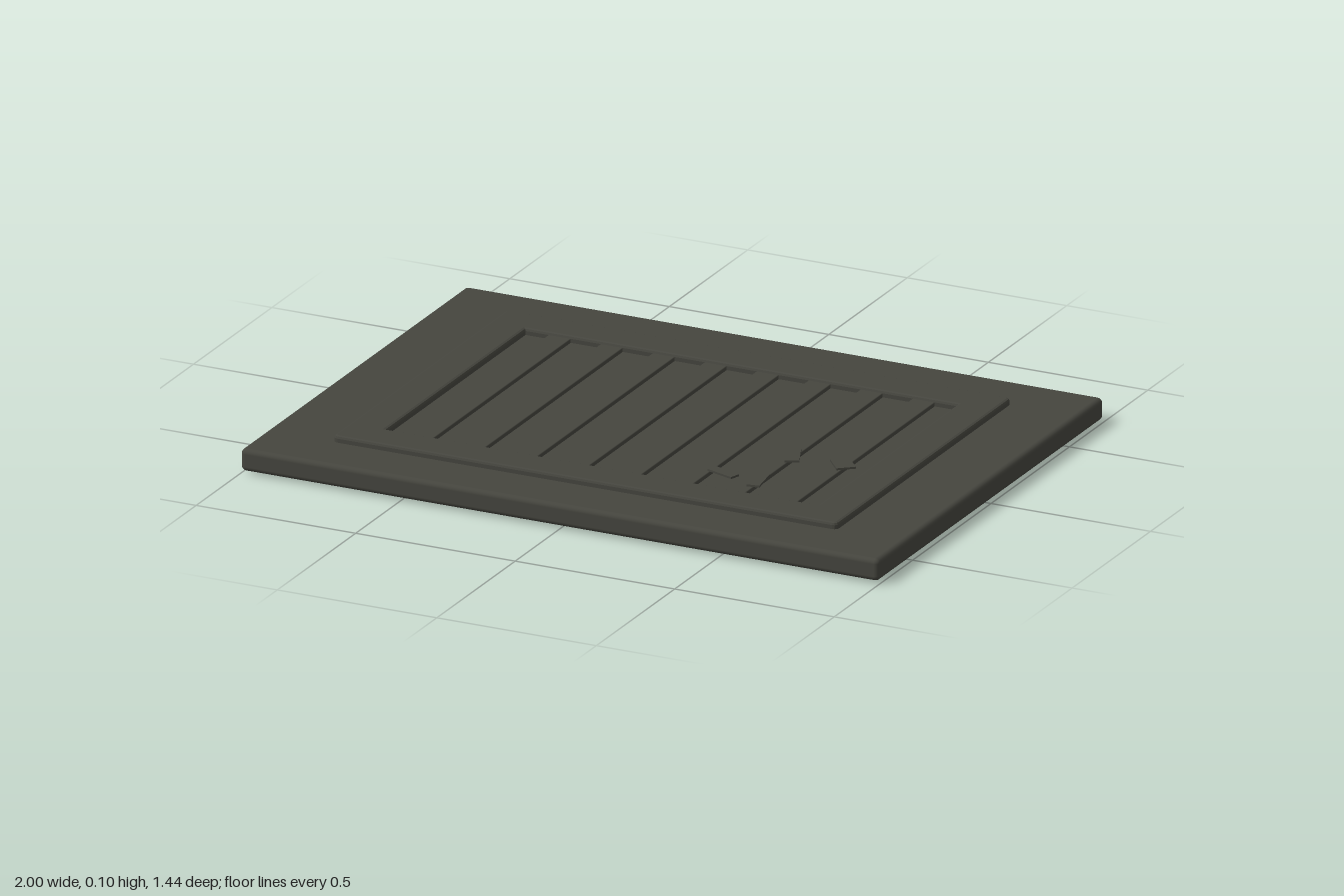
import * as THREE from 'three';
import { RoundedBoxGeometry } from 'three/addons/geometries/RoundedBoxGeometry.js';

const iron = new THREE.MeshStandardMaterial({ color: 0x45453e });
iron.name = 'dark iron';

function roundedRect(path, w, d, r) {
  const x = w / 2, y = d / 2;
  path.moveTo(-x + r, -y);
  path.lineTo(x - r, -y);
  path.quadraticCurveTo(x, -y, x, -y + r);
  path.lineTo(x, y - r);
  path.quadraticCurveTo(x, y, x - r, y);
  path.lineTo(-x + r, y);
  path.quadraticCurveTo(-x, y, -x, y - r);
  path.lineTo(-x, -y + r);
  path.quadraticCurveTo(-x, -y, -x + r, -y);
  return path;
}

export function createModel() {
  const group = new THREE.Group();
  group.name = 'floorGrate';
  const add = (name, geometry, x, y, z) => {
    const mesh = new THREE.Mesh(geometry, iron);
    mesh.name = name;
    mesh.position.set(x, y, z);
    group.add(mesh);
    return mesh;
  };

  // Wide base slab with softened edges
  add('baseSlab', new RoundedBoxGeometry(2, 0.067, 1.44, 3, 0.015), 0, 0.0415, 0);

  // Raised rim around the slats, proud of the slab above and below
  const bevel = 0.008;
  const rim = roundedRect(new THREE.Shape(), 1.58 - 2 * bevel, 1.112 - 2 * bevel, 0.008);
  rim.holes.push(roundedRect(new THREE.Path(), 1.354 + 2 * bevel, 0.886 + 2 * bevel, 0.004));
  const rimGeometry = new THREE.ExtrudeGeometry(rim, {
    depth: 0.095 - 2 * bevel, bevelEnabled: true, bevelSize: bevel,
    bevelThickness: bevel, bevelSegments: 2, curveSegments: 3,
  });
  rimGeometry.rotateX(-Math.PI / 2);
  add('raisedRim', rimGeometry, 0, bevel, 0);

  // Eight evenly spaced slats
  for (let i = 0; i < 8; i++) {
    add('slat', new RoundedBoxGeometry(0.07, 0.083, 0.9, 2, 0.003), (i - 3.5) * 0.163, 0.0455, 0);
  }

  // Loose flakes: x, y, z, length, width, direction of length (dx, dz)
  const flakes = [
    [0.444, 0.097, 0.131, 0.1, 0.041, 7.5, 18],
    [0.6, 0.097, 0.131, 0.077, 0.056, 10, 12],
    [0.332, 0.1, 0.348, 0.093, 0.033, 16.5, 5.5],
    [0.446, 0.099, 0.358, 0.095, 0.038, 2.5, 17.5],
  ];
  for (const [x, y, z, length, width, dx, dz] of flakes) {
    add('flake', new THREE.BoxGeometry(length, 0.006, width), x, y, z).rotation.y = -Math.atan2(dz, dx);
  }
  return group;
}
